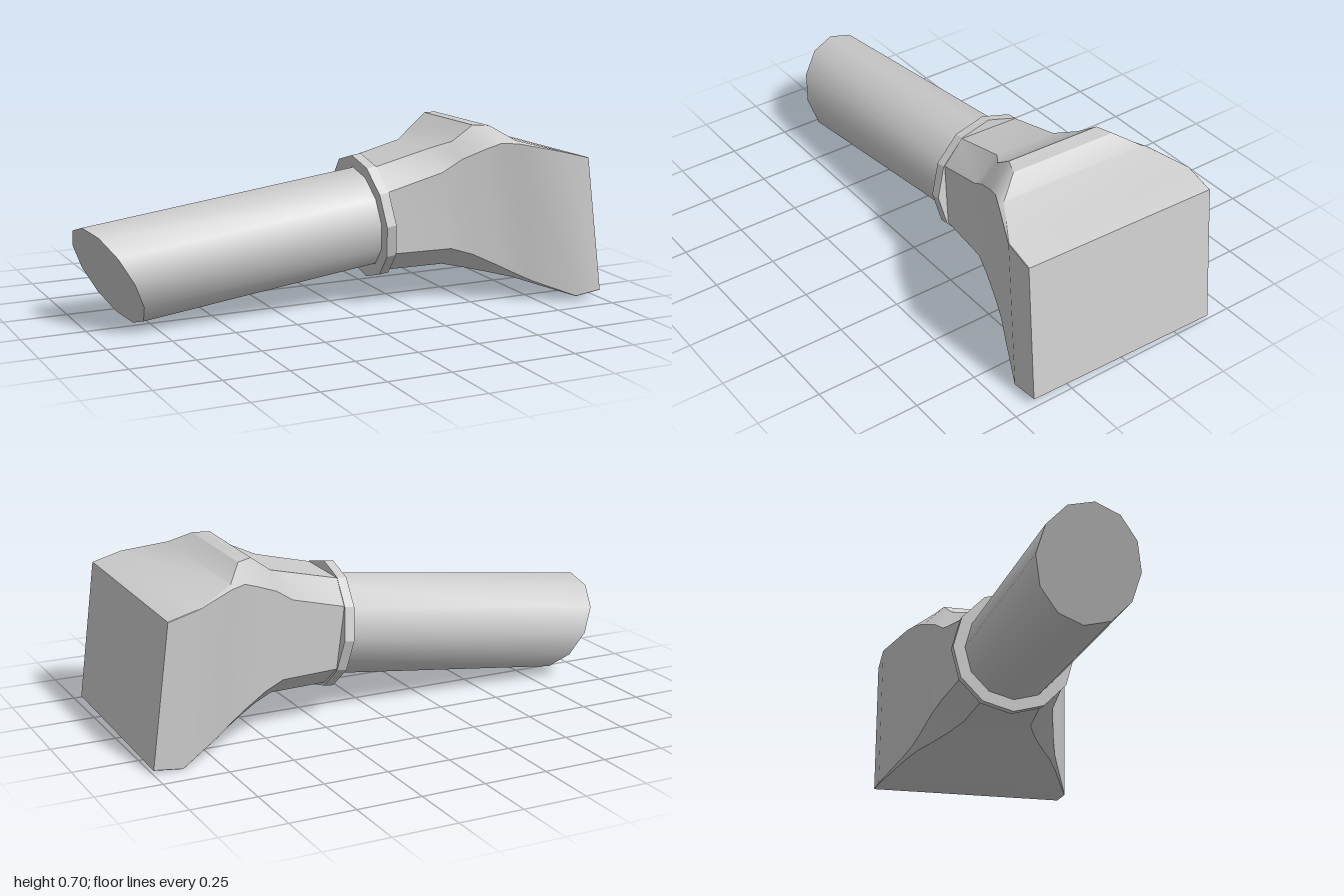
import * as THREE from 'three';
import { toCreasedNormals } from 'three/addons/utils/BufferGeometryUtils.js';

const material = new THREE.MeshStandardMaterial({ color: 0xcccccc });

function part(name, geometry, crease) {
  const mesh = new THREE.Mesh(toCreasedNormals(geometry, crease), material);
  mesh.name = name;
  return mesh;
}

// Cylinder lying along x, between two positions
function rod(radius, x0, x1, sides) {
  const g = new THREE.CylinderGeometry(radius, radius, x1 - x0, sides);
  g.rotateZ(-Math.PI / 2);
  g.translate((x0 + x1) / 2, 0, 0);
  return g;
}

// Handle with its far end cut on a slant
function handleGeometry() {
  const g = rod(0.201, -1, 0, 12);
  const p = g.attributes.position;
  for (let i = 0; i < p.count; i++) {
    if (p.getX(i) < -0.5) p.setX(i, -1.067 - 0.34 * p.getY(i) + 0.2 * p.getZ(i));
  }
  return g;
}

// Head lofted through chamfered rectangles that open into a square face
// x, top, bottom, half width, top flat, side top, bottom flat, side bottom
const sections = [
  [0.01, 0.212, -0.203, 0.21, 0.125, 0.124, 0.12, -0.12],
  [0.25, 0.24, -0.23, 0.235, 0.13, 0.16, 0.14, -0.148],
  [0.33, 0.261, -0.256, 0.258, 0.185, 0.2, 0.18, -0.185],
  [0.42, 0.311, -0.287, 0.285, 0.2, 0.225, 0.24, -0.245],
  [0.48, 0.3, -0.308, 0.307, 0.225, 0.24, 0.285, -0.287],
  [0.54, 0.241, -0.337, 0.337, 0.315, 0.23, 0.325, -0.327],
  [0.69, 0.18, -0.411, 0.41, 0.408, 0.178, 0.408, -0.409],
  [0.802, 0.134, -0.411, 0.41, 0.408, 0.132, 0.408, -0.409],
];

function headGeometry() {
  const positions = [];
  const index = [];
  for (const [x, top, bottom, half, topFlat, sideTop, bottomFlat, sideBottom] of sections) {
    const right = [[top, topFlat], [sideTop, half], [sideBottom, half], [bottom, bottomFlat]];
    const left = right.map(([y, z]) => [y, -z]).reverse();
    for (const [y, z] of [...right, ...left]) positions.push(x, y, z);
  }
  const n = 8;
  const last = (sections.length - 1) * n;
  for (let i = 0; i < last; i += n) {
    for (let j = 0; j < n; j++) {
      const a = i + j, b = i + (j + 1) % n;
      index.push(a, b, b + n, a, b + n, a + n);
    }
  }
  // Flat caps at both ends
  for (let j = 1; j < n - 1; j++) {
    index.push(last, last + j, last + j + 1, 0, j + 1, j);
  }
  const g = new THREE.BufferGeometry();
  g.setAttribute('position', new THREE.Float32BufferAttribute(positions, 3));
  g.setIndex(index);
  return g;
}

export function createModel() {
  const model = new THREE.Group();
  model.name = 'hammer';

  // Everything shares one axis, tilted and slightly rolled
  const body = new THREE.Group();
  body.name = 'body';
  body.rotation.set(-0.0245, 0, 0.1222, 'ZYX');
  body.position.set(0.15, 0.335, -0.002);
  body.add(
    part('handle', handleGeometry(), 0.7),
    part('collar', rod(0.249, -0.02, 0.02, 12), 0.4),
    part('head', headGeometry(), 0.55),
  );
  model.add(body);
  return model;
}
